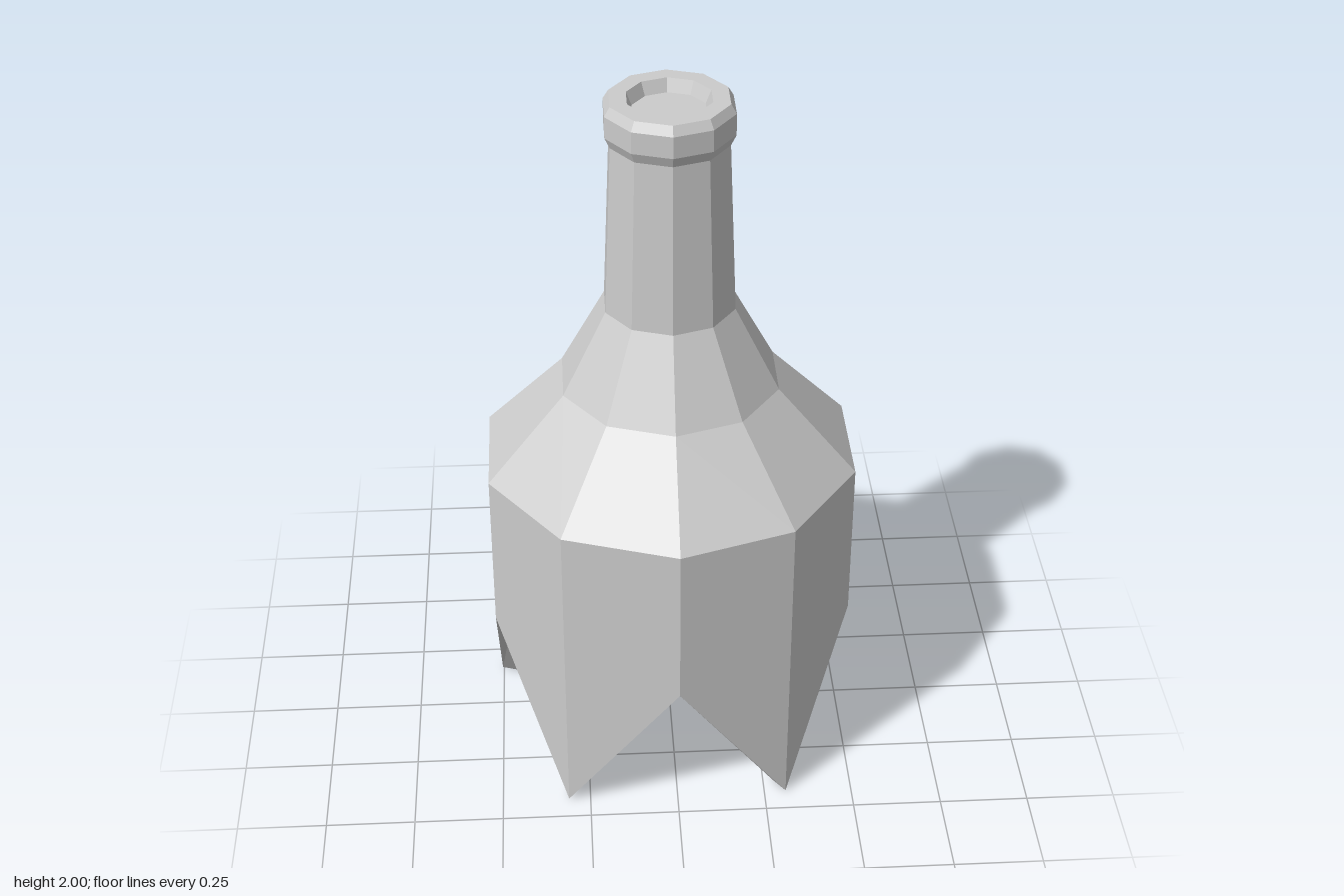
import * as THREE from 'three';

const SIDES = 10;

export function createModel() {
  const model = new THREE.Group();
  const glass = new THREE.MeshStandardMaterial({ color: 0xcccccc, flatShading: true });

  // Ten-sided turned part from [radius, height] pairs
  function turned(name, profile) {
    const points = profile.map(([r, y]) => new THREE.Vector2(r, y));
    const mesh = new THREE.Mesh(new THREE.LatheGeometry(points, SIDES), glass);
    mesh.name = name;
    model.add(mesh);
    return mesh;
  }

  // Hollow wall: down the inside, across the broken rim, up the outside
  const wall = turned('brokenBody', [[0.477, 0.93], [0.477, 0], [0.53, 0], [0.53, 0.93]]);

  // Jagged rim: each corner is either a shard tip (0) or a notch
  const notch = 0.46;
  const rim = [notch, 0, notch, 0, 0, notch, 0, 0, notch, 0];
  const pos = wall.geometry.attributes.position;
  for (let i = 0; i <= SIDES; i++) {
    for (const j of [1, 2]) pos.setY(i * 4 + j, rim[i % SIDES]);
  }
  wall.geometry.computeVertexNormals();

  // Hollow inside of shoulder and neck
  turned('innerSurface', [[0, 1.85], [0.11, 1.85], [0.135, 1.4], [0.265, 1.14], [0.477, 0.93]]);

  // Sloping shoulder
  turned('shoulder', [[0.53, 0.93], [0.308, 1.165], [0.183, 1.4]]);

  // Tapering neck
  turned('neck', [[0.183, 1.4], [0.163, 1.885]]);

  // Bevelled lip with a shallow closed mouth
  turned('lip', [
    [0.163, 1.885], [0.177, 1.915], [0.177, 1.975], [0.162, 2],
    [0.115, 2], [0.1, 1.965], [0, 1.965],
  ]);

  return model;
}
